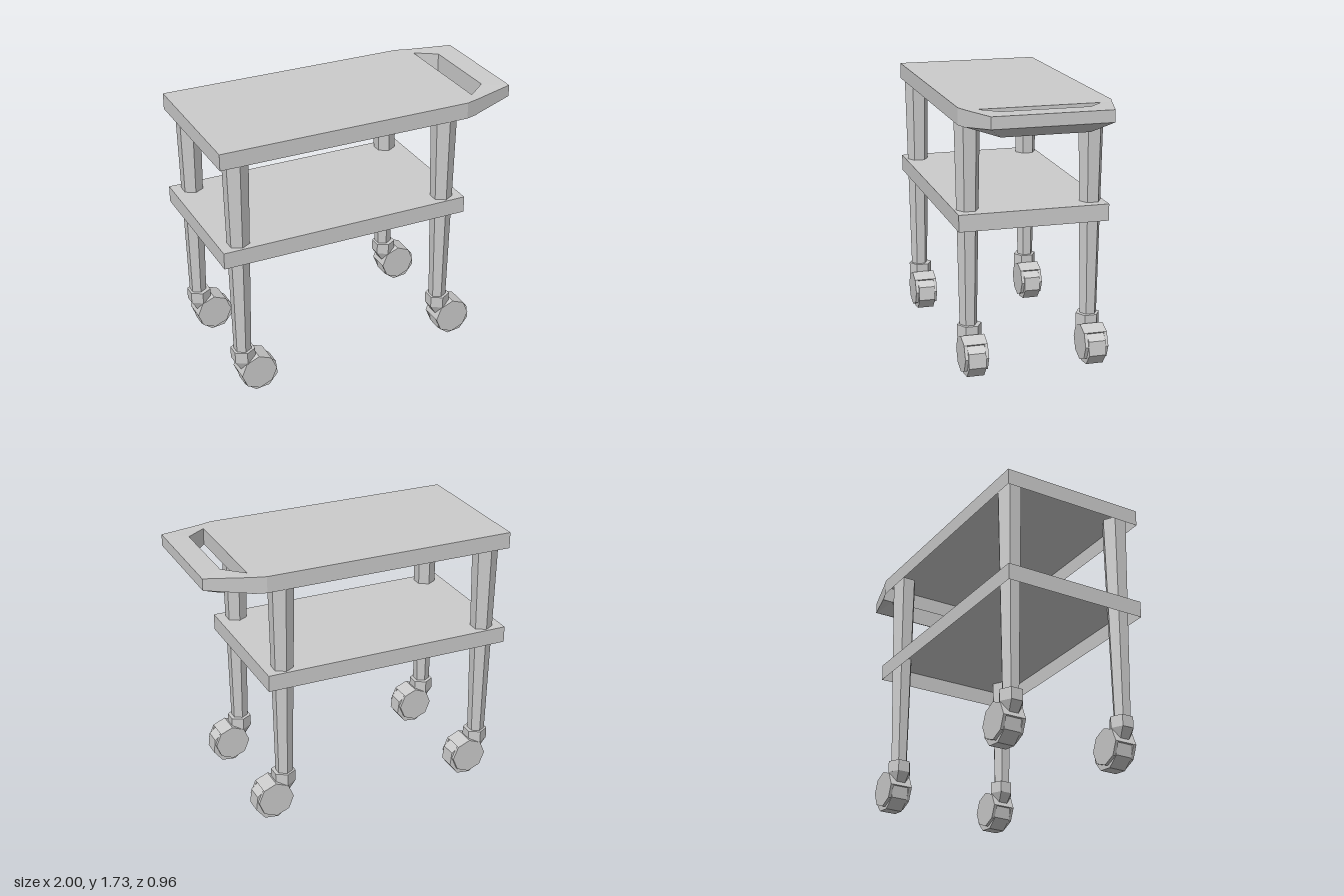
import * as THREE from 'three';

const material = new THREE.MeshStandardMaterial({
  color: 0xcccccc, flatShading: true, side: THREE.DoubleSide,
});

function add(parent, name, geometry, x = 0, y = 0, z = 0) {
  const mesh = new THREE.Mesh(geometry, material);
  mesh.name = name;
  mesh.position.set(x, y, z);
  parent.add(mesh);
  return mesh;
}

function fromTriangles(positions) {
  const geometry = new THREE.BufferGeometry();
  geometry.setAttribute('position', new THREE.Float32BufferAttribute(positions, 3));
  geometry.computeVertexNormals();
  return geometry;
}

const quad = (a, b, c, d) => [...a, ...b, ...c, ...a, ...c, ...d];

// Board with a rim, hollow underneath; the outline is convex, in x and z
function tray(outline, top, bottom) {
  const positions = [];
  const at = (i, y) => {
    const [x, z] = outline[i % outline.length];
    return [x, y, z];
  };
  for (let i = 0; i < outline.length; i++) {
    positions.push(...quad(at(i, bottom), at(i + 1, bottom), at(i + 1, top), at(i, top)));
    if (i > 0 && i < outline.length - 1) {
      positions.push(...at(0, top), ...at(i, top), ...at(i + 1, top));
    }
  }
  return fromTriangles(positions);
}

// Loft of four-cornered sections, left open at both ends
function loft(sections) {
  const positions = [];
  for (let i = 0; i < sections.length - 1; i++) {
    const a = sections[i], b = sections[i + 1];
    for (let k = 0; k < 4; k++) {
      const n = (k + 1) % 4;
      positions.push(...quad(a[k], a[n], b[n], b[k]));
    }
  }
  return fromTriangles(positions);
}

// Swivel caster; its origin is on the leg axis, the wheel trails towards +x
function createCaster() {
  const caster = new THREE.Group();
  caster.name = 'caster';
  add(caster, 'collar', new THREE.CylinderGeometry(0.078, 0.078, 0.075, 6), 0.004, 0.267, 0);

  // Neck leaning from the collar into the wheel housing
  const neck = new THREE.CylinderGeometry(0.078, 0.045, 0.12, 6);
  const p = neck.attributes.position;
  for (let i = 0; i < p.count; i++) {
    p.setX(i, p.getX(i) + (0.06 - p.getY(i)) * 0.4);
  }
  add(caster, 'neck', neck, 0.004, 0.17, 0);

  // Octagonal covers on both sides of the tyre
  const radius = 0.118, hubX = 0.083, hubY = 0.138;
  for (const side of [-1, 1]) {
    const cover = new THREE.CylinderGeometry(radius, radius, 0.02, 8).rotateX(Math.PI / 2);
    add(caster, 'wheelCover', cover, hubX, hubY, side * 0.065);
  }

  // Upper housing joining the covers
  const arc = [new THREE.Vector2(0, 0)];
  for (let k = 1; k <= 4; k++) {
    const t = k * Math.PI / 4;
    arc.push(new THREE.Vector2(radius * Math.cos(t), radius * Math.sin(t)));
  }
  const housing = new THREE.ExtrudeGeometry(new THREE.Shape(arc), { depth: 0.11, bevelEnabled: false });
  add(caster, 'wheelHousing', housing, hubX, hubY, -0.055);

  const tyre = new THREE.CylinderGeometry(0.121, 0.121, 0.11, 8).rotateX(Math.PI / 2);
  add(caster, 'tyre', tyre, 0.097, 0.117, 0).rotation.z = -0.28;
  return caster;
}

export function createModel() {
  const cart = new THREE.Group();
  cart.name = 'cart';

  // Top deck, narrowing where the handle starts
  add(cart, 'topDeck', tray([
    [-1, 0.478], [0.64, 0.478], [0.724, 0.453],
    [0.724, -0.453], [0.64, -0.478], [-1, -0.478],
  ], 1.72, 1.615));

  add(cart, 'lowerShelf', tray([
    [-1, 0.478], [0.644, 0.478], [0.644, -0.478], [-1, -0.478],
  ], 1.065, 0.958));

  // Handle frame: corners run outer top, outer bottom, inner bottom, inner top
  const root = (s) => [
    [0.724, 1.72, s * 0.453], [0.724, 1.618, s * 0.453],
    [0.724, 1.615, s * 0.38], [0.724, 1.72, s * 0.38],
  ];
  const corner = (s) => [
    [1, 1.73, s * 0.373], [1, 1.655, s * 0.373],
    [0.855, 1.574, s * 0.275], [0.855, 1.727, s * 0.275],
  ];
  add(cart, 'handle', loft([root(1), corner(1), corner(-1), root(-1)]));

  // Tapered six-sided legs with casters; the handle end sits slightly higher
  for (const [x, lift] of [[-0.874, 0], [0.521, 0.025]]) {
    for (const side of [-1, 1]) {
      const bottom = 0.28 + lift, height = 1.67 - bottom;
      const leg = new THREE.CylinderGeometry(0.082, 0.055, height, 6);
      add(cart, 'leg', leg, x, bottom + height / 2, side * 0.393);
      const caster = createCaster();
      caster.position.set(x, lift, side * 0.388);
      cart.add(caster);
    }
  }
  return cart;
}
